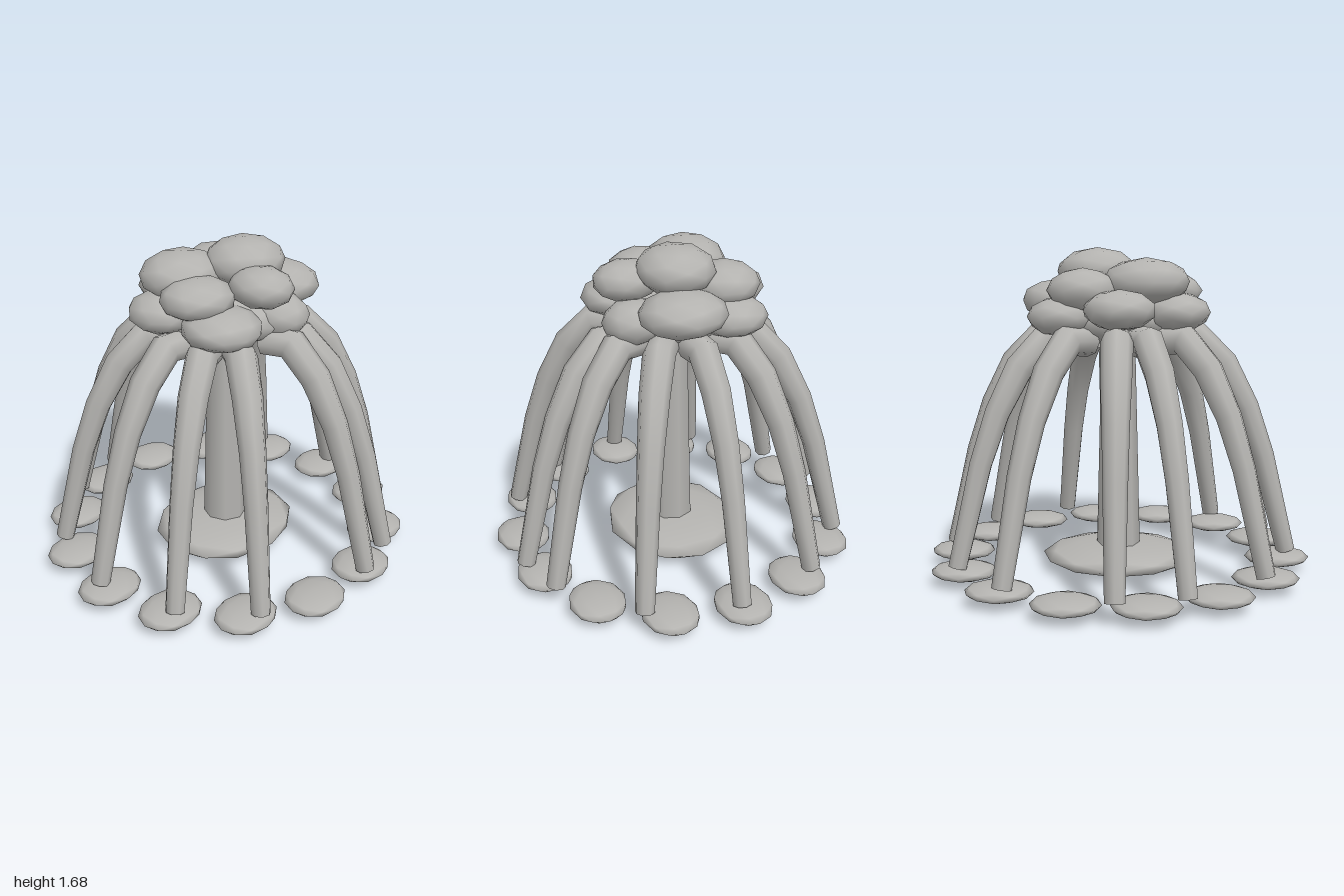
import * as THREE from 'three';

const stone = new THREE.MeshStandardMaterial({ color: 0xb4b3b0 });
stone.name = 'warmGrey';

// Squashed low-poly ball with smooth normals
function blob(name, [x, y, z], [rx, ry, rz], turn = 0) {
  const geo = new THREE.IcosahedronGeometry(1, 1);
  geo.rotateY(turn);
  const mesh = new THREE.Mesh(geo, stone);
  mesh.name = name;
  mesh.position.set(x, y, z);
  mesh.scale.set(rx, ry, rz);
  return mesh;
}

// Tapered limb: rings of vertices along an arc in the x-y plane, capped at both ends
function limbGeometry(path, sides = 8) {
  const pos = [];
  const index = [];
  path.forEach(([x, y, r], i) => {
    const a = path[Math.max(i - 1, 0)];
    const b = path[Math.min(i + 1, path.length - 1)];
    const len = Math.hypot(b[0] - a[0], b[1] - a[1]);
    const nx = -(b[1] - a[1]) / len;
    const ny = (b[0] - a[0]) / len;
    for (let k = 0; k < sides; k++) {
      const t = (k / sides) * Math.PI * 2;
      const c = Math.cos(t) * r;
      pos.push(x + nx * c, y + ny * c, Math.sin(t) * r);
    }
  });
  for (let i = 0; i < path.length - 1; i++) {
    for (let k = 0; k < sides; k++) {
      const a = i * sides + k;
      const b = i * sides + ((k + 1) % sides);
      index.push(a, b, a + sides, b, b + sides, a + sides);
    }
  }
  // Separate cap vertices keep the end edges sharp
  for (const end of [0, path.length - 1]) {
    const first = pos.length / 3;
    for (let k = 0; k < sides * 3; k++) pos.push(pos[end * sides * 3 + k]);
    for (let k = 1; k < sides - 1; k++) {
      if (end === 0) index.push(first, first + k + 1, first + k);
      else index.push(first, first + k, first + k + 1);
    }
  }
  const geo = new THREE.BufferGeometry();
  geo.setAttribute('position', new THREE.Float32BufferAttribute(pos, 3));
  geo.setIndex(index);
  geo.computeVertexNormals();
  return geo;
}

export function createModel() {
  const model = new THREE.Group();
  model.name = 'archedTree';

  // Central trunk on its wide flat base
  const trunk = new THREE.Mesh(new THREE.CylinderGeometry(0.085, 0.115, 1.2, 8), stone);
  trunk.name = 'trunk';
  trunk.position.y = 0.68;
  model.add(trunk);
  model.add(blob('trunkBase', [0, 0.07, 0], [0.4, 0.07, 0.35]));

  // Crown of overlapping cushions: centre, radii
  const crown = new THREE.Group();
  crown.name = 'crown';
  const cushions = [
    [[0.0, 1.31, 0.0], [0.33, 0.13, 0.33]],
    [[0.11, 1.56, 0.03], [0.21, 0.12, 0.2]],
    [[-0.15, 1.51, -0.15], [0.22, 0.12, 0.2]],
    [[0.16, 1.47, -0.21], [0.18, 0.11, 0.18]],
    [[0.31, 1.41, 0.08], [0.2, 0.11, 0.22]],
    [[-0.22, 1.34, 0.19], [0.2, 0.1, 0.2]],
    [[0.0, 1.5, 0.24], [0.15, 0.1, 0.17]],
    [[-0.24, 1.46, 0.05], [0.19, 0.1, 0.18]],
    [[-0.03, 1.38, -0.34], [0.18, 0.1, 0.18]],
    [[0.12, 1.33, 0.25], [0.15, 0.11, 0.16]],
    [[0.27, 1.34, -0.2], [0.17, 0.1, 0.18]],
    [[-0.3, 1.36, -0.13], [0.17, 0.1, 0.18]],
  ];
  cushions.forEach(([c, r], i) => crown.add(blob('cushion' + (i + 1), c, r, i * 0.9)));
  model.add(crown);

  // Twelve arching legs, placed by their compass angle in degrees
  const legGeo = limbGeometry([
    [0.25, 1.22, 0.08], [0.4, 1.23, 0.08], [0.54, 1.09, 0.075],
    [0.66, 0.87, 0.065], [0.75, 0.62, 0.058], [0.88, 0.11, 0.048],
  ]);
  const legs = new THREE.Group();
  legs.name = 'legs';
  [2, 33, 65, 82, 125, 152, 181, 212, 245, 267, 304, 331].forEach((deg, i) => {
    const leg = new THREE.Mesh(legGeo, stone);
    leg.name = 'leg' + (i + 1);
    leg.rotation.y = -THREE.MathUtils.degToRad(deg);
    legs.add(leg);
  });
  model.add(legs);

  // Ring of fourteen flat pads
  const pads = new THREE.Group();
  pads.name = 'pads';
  for (let i = 0; i < 14; i++) {
    const a = (i / 14) * Math.PI * 2;
    pads.add(blob('pad' + (i + 1),
      [Math.cos(a) * 0.835, 0.07, Math.sin(a) * 0.815], [0.168, 0.042, 0.142], 0));
  }
  model.add(pads);

  return model;
}
